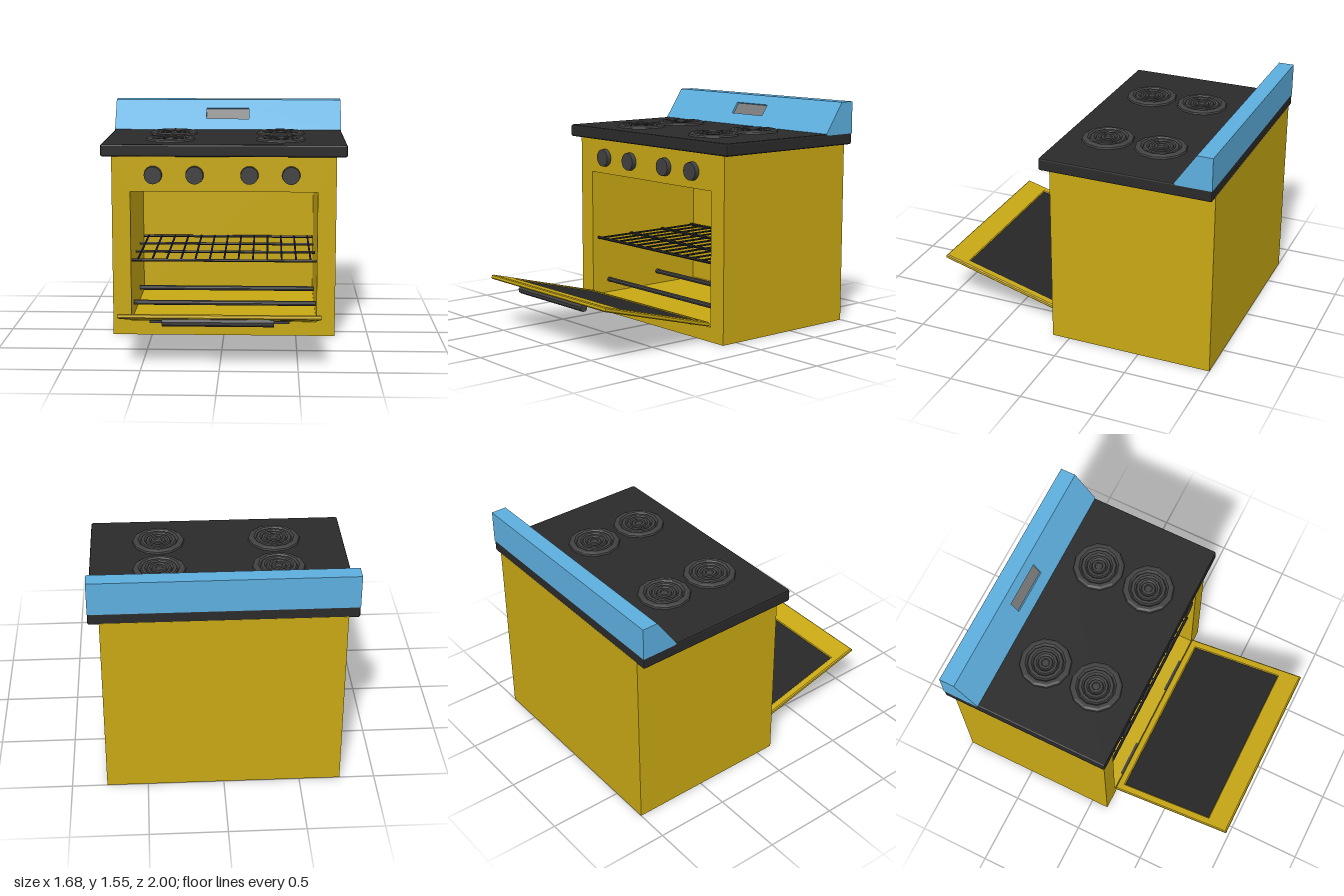
import * as THREE from 'three';
import { RoundedBoxGeometry } from 'three/addons/geometries/RoundedBoxGeometry.js';

const paint = (color) => new THREE.MeshStandardMaterial({ color, flatShading: true });
const YELLOW = paint(0xc8a814), BLUE = paint(0x5dafdf), BLACK = paint(0x2a2a2a);
const DARK = paint(0x414141), GREY = paint(0x7a7a7a), GLASS = paint(0x262626);

function add(parent, name, geometry, material, x = 0, y = 0, z = 0) {
  const mesh = new THREE.Mesh(geometry, material);
  mesh.name = name;
  mesh.position.set(x, y, z);
  parent.add(mesh);
  return mesh;
}

function rect(x0, y0, x1, y1, Type = THREE.Shape) {
  const v = (x, y) => new THREE.Vector2(x, y);
  return new Type([v(x0, y0), v(x1, y0), v(x1, y1), v(x0, y1)]);
}

// Rectangular frame: outer and hole are [x0, y0, x1, y1]
function frame(outer, hole, depth, bevel = 0) {
  const shape = rect(...outer);
  shape.holes.push(rect(...hole, THREE.Path));
  const geo = new THREE.ExtrudeGeometry(shape, {
    depth: depth - 2 * bevel, bevelEnabled: bevel > 0, bevelSegments: 1,
    bevelSize: bevel, bevelThickness: bevel, bevelOffset: -bevel,
  });
  return geo.translate(0, 0, bevel);
}

// Rod lying along x or z
function rod(radius, length, axis, sides = 6) {
  const geo = new THREE.CylinderGeometry(radius, radius, length, sides);
  return axis === 'x' ? geo.rotateZ(Math.PI / 2) : geo.rotateX(Math.PI / 2);
}

function makeDoor() {
  const door = new THREE.Group();
  door.name = 'ovenDoor';
  const flat = Math.PI / 2;
  add(door, 'doorFrame', frame([-0.645, 0, 0.645, 0.895], [-0.59, 0.055, 0.59, 0.735], 0.03, 0.007).rotateX(flat), YELLOW);
  add(door, 'doorWindow', new THREE.BoxGeometry(1.2, 0.018, 0.7), GLASS, 0, -0.015, 0.395);
  add(door, 'doorHandle', rod(0.026, 0.71, 'x', 8), DARK, -0.01, -0.05, 0.825);
  for (const x of [-0.3, 0.28]) {
    add(door, 'handleMount', new THREE.BoxGeometry(0.04, 0.03, 0.03), DARK, x, -0.035, 0.825);
  }
  door.position.set(0, 0.14, 0.125);
  door.rotation.x = -THREE.MathUtils.degToRad(15);
  return door;
}

function makeRack() {
  const rack = new THREE.Group();
  rack.name = 'ovenRack';
  for (const z of [0.07, -0.23, -0.53, -0.82]) {
    add(rack, 'rackRail', rod(0.01, 1.28, 'x'), BLACK, 0, 0, z);
  }
  for (let i = 0; i < 13; i++) {
    add(rack, 'rackBar', rod(0.007, 0.89, 'z'), BLACK, -0.6 + i * 0.1, 0.004, -0.375);
  }
  rack.position.y = 0.525;
  return rack;
}

// Coil rings as one rippled lathe profile
function burnerGeometry() {
  const profile = [
    [0.175, -0.005], [0.17, 0.012], [0.155, 0.02], [0.135, 0.02], [0.122, 0.004],
    [0.115, 0.017], [0.095, 0.017], [0.084, 0.003], [0.078, 0.016], [0.062, 0.016],
    [0.05, 0.003], [0.045, 0.016], [0.028, 0.016], [0.024, 0.009], [0, 0.009],
  ];
  return new THREE.LatheGeometry(profile.map(([r, y]) => new THREE.Vector2(r, y)), 12);
}

function makeBackPanel() {
  const panel = new THREE.Group();
  panel.name = 'backPanel';
  const tilt = Math.atan2(0.145, 0.21), slope = Math.hypot(0.145, 0.21), t = 0.018;
  const dz = t * Math.cos(tilt), dy = t * Math.sin(tilt);

  // Wedge core, behind the sloping face plate
  const core = new THREE.Shape([
    [1, 1.335], [1, 1.555], [0.895, 1.555], [0.895 + dz, 1.555 - dy], [0.75 + dz, 1.345 - dy],
  ].map(([x, y]) => new THREE.Vector2(x, y)));
  const geo = new THREE.ExtrudeGeometry(core, { depth: 1.68, bevelEnabled: false });
  add(panel, 'panelCore', geo.translate(0, 0, -0.84).rotateY(Math.PI / 2), BLUE);

  // Face plate with a recessed display
  const face = new THREE.Group();
  face.name = 'panelFace';
  face.position.set(0, 1.345, -0.75);
  face.rotation.x = -tilt;
  add(face, 'facePlate', frame([-0.84, 0, 0.84, slope], [-0.16, 0.092, 0.155, 0.183], t), BLUE, 0, 0, -t);
  add(face, 'display', new THREE.BoxGeometry(0.315, 0.091, 0.01), GREY, 0, 0.1375, -t);
  panel.add(face);
  return panel;
}

export function createModel() {
  const stove = new THREE.Group();
  stove.name = 'stove';

  // Cabinet with open oven cavity
  add(stove, 'cabinet', frame([-0.77, 0.005, 0.77, 1.27], [-0.643, 0.105, 0.643, 1.015], 0.97), YELLOW, 0, 0, -0.85);
  add(stove, 'cabinetBack', new THREE.BoxGeometry(1.54, 1.265, 0.15), YELLOW, 0, 0.6375, -0.925);

  // Cooktop and burners
  add(stove, 'cooktop', new RoundedBoxGeometry(1.68, 0.085, 1.165, 1, 0.012), BLACK, 0, 1.3025, -0.4175);
  const burner = burnerGeometry();
  for (const x of [-0.38, 0.39]) {
    for (const z of [-0.495, -0.125]) add(stove, 'burner', burner, DARK, x, 1.345, z);
  }
  stove.add(makeBackPanel());

  // Control knobs
  const knob = new THREE.CylinderGeometry(0.06, 0.063, 0.035, 24).rotateX(Math.PI / 2);
  for (const x of [-0.485, -0.2, 0.175, 0.46]) add(stove, 'knob', knob, DARK, x, 1.13, 0.1345);

  // Oven interior, hinges and door
  stove.add(makeRack());
  for (const z of [-0.025, -0.485]) add(stove, 'heatingRod', rod(0.018, 1.28, 'x', 8), DARK, 0, 0.2, z);
  for (const x of [-0.39, 0.33]) {
    add(stove, 'hinge', new THREE.BoxGeometry(0.256, 0.016, 0.03), DARK, x, 0.1, 0.12);
  }
  stove.add(makeDoor());
  return stove;
}
